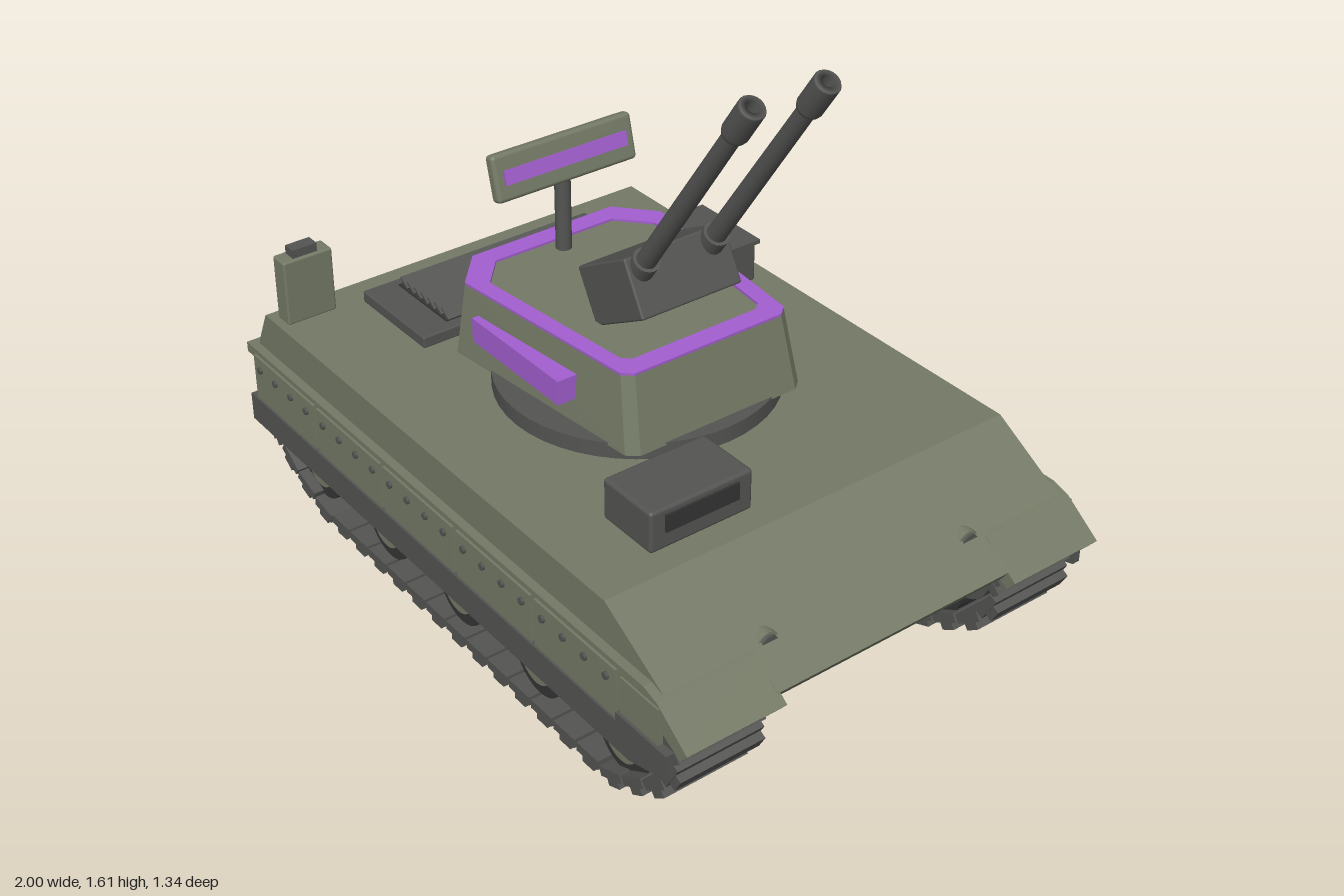
import * as THREE from 'three';
import { RoundedBoxGeometry } from 'three/addons/geometries/RoundedBoxGeometry.js';

const paint = (name, color) => {
  const m = new THREE.MeshStandardMaterial({ color });
  m.name = name;
  return m;
};

export function createModel() {
  const olive = paint('olive armour', 0x747a66);
  const steel = paint('dark steel', 0x545553);
  const rubber = paint('black rubber', 0x343534);
  const purple = paint('purple marking', 0xa35fd0);
  const model = new THREE.Group();
  model.name = 'antiAircraftTank';

  const add = (name, geo, mat, x = 0, y = 0, z = 0, parent = model) => {
    const m = new THREE.Mesh(geo, mat);
    m.name = name;
    m.position.set(x, y, z);
    parent.add(m);
    return m;
  };
  // box given by its minimum and maximum on each axis
  const block = (name, mat, [x0, x1], [y0, y1], [z0, z1], r = 0, parent = model) => {
    const s = [x1 - x0, y1 - y0, z1 - z0];
    const geo = r ? new RoundedBoxGeometry(...s, 2, r) : new THREE.BoxGeometry(...s);
    return add(name, geo, mat, (x0 + x1) / 2, (y0 + y1) / 2, (z0 + z1) / 2, parent);
  };
  const shapeOf = pts => new THREE.Shape(pts.map(p => new THREE.Vector2(...p)));
  // side profile extruded across z
  const profile = (name, mat, pts, z0, z1) => {
    const geo = new THREE.ExtrudeGeometry(shapeOf(pts), { depth: z1 - z0, bevelEnabled: false });
    return add(name, geo, mat, 0, 0, z0);
  };
  const discZ = (r, depth, n = 24) => new THREE.CylinderGeometry(r, r, depth, n).rotateX(Math.PI / 2);
  const discX = (r, depth, n = 16) => new THREE.CylinderGeometry(r, r, depth, n).rotateZ(Math.PI / 2);

  // Hull
  profile('upperHull', olive, [[-0.98, 0.43], [0.88, 0.43], [0.66, 0.557], [-0.918, 0.557]], -0.63, 0.63);
  profile('lowerHull', olive,
    [[-0.9, 0.14], [0.72, 0.14], [0.955, 0.335], [0.975, 0.365], [0.88, 0.43], [-0.98, 0.43]], -0.372, 0.372);

  // Closed track path shared by both sides
  const pathPts = [[-0.68, 0.03], [0.66, 0.03], [0.75, 0.07], [0.86, 0.14], [0.915, 0.22], [0.92, 0.28],
    [0.86, 0.34], [0.75, 0.36], [-0.83, 0.36], [-0.92, 0.34], [-0.965, 0.25], [-0.93, 0.16], [-0.82, 0.08]]
    .map(([x, y]) => new THREE.Vector3(x, y, 0));
  const path = new THREE.CurvePath();
  pathPts.forEach((p, i) => path.add(new THREE.LineCurve3(p, pathPts[(i + 1) % pathPts.length])));
  const LINKS = 42;

  for (const s of [1, -1]) {
    const side = s > 0 ? 'left' : 'right';
    const span = (a, b) => (s > 0 ? [a, b] : [-b, -a]);

    // Fender with sloping front flap
    block(side + 'Fender', olive, [-1, 0.84], [0.41, 0.44], span(0.372, 0.655));
    const [f0, f1] = span(0.365, 0.655);
    profile(side + 'FrontFlap', olive, [[0.8, 0.41], [0.975, 0.315], [1, 0.345], [0.89, 0.425], [0.84, 0.44], [0.8, 0.44]], f0, f1);

    // Riveted skirt panels over a rubber strip
    const joints = [-0.96, -0.615, -0.275, 0.07, 0.41, 0.75];
    for (let i = 0; i < 5; i++) {
      block(side + 'SkirtPanel', olive, [joints[i] + 0.008, joints[i + 1] - 0.008], [0.285, 0.425], span(0.645, 0.662));
      for (let k = 0; k < 4; k++)
        add(side + 'Rivet', discZ(0.01, 0.012, 8), steel, joints[i] + 0.045 + k * 0.085, 0.39, s * 0.664);
    }
    block(side + 'SkirtEnd', olive, [0.758, 0.9], [0.31, 0.415], span(0.645, 0.66));
    block(side + 'SkirtBacking', steel, [-0.95, 0.76], [0.28, 0.41], span(0.635, 0.645));
    const [r0, r1] = span(0.645, 0.668);
    profile(side + 'RubberSkirt', steel, [[-0.98, 0.2], [0.8, 0.2], [0.94, 0.24], [0.94, 0.31], [0.75, 0.31], [0.75, 0.285], [-0.98, 0.285]], r0, r1);

    // Road wheels
    for (let i = 0; i < 5; i++) {
      const x = -0.72 + i * 0.3525;
      add(side + 'Tyre', discZ(0.103, 0.2, 28), rubber, x, 0.155, s * 0.5);
      add(side + 'WheelRim', discZ(0.066, 0.02), olive, x, 0.155, s * 0.6);
      add(side + 'WheelHub', discZ(0.025, 0.02, 12), olive, x, 0.155, s * 0.615);
      add(side + 'Axle', discZ(0.03, 0.1, 12), steel, x, 0.155, s * 0.38);
    }
    // Sprocket and idler
    for (const x of [0.78, -0.83]) {
      add(side + 'EndWheel', discZ(0.095, 0.18), steel, x, 0.25, s * 0.5);
      add(side + 'EndWheelHub', discZ(0.04, 0.04, 12), olive, x, 0.25, s * 0.595);
    }

    // Track links, each a plate with a cleat on the outside
    for (let i = 0; i < LINKS; i++) {
      const p = path.getPoint(i / LINKS);
      const a = path.getPoint((i / LINKS + 0.994) % 1), b = path.getPoint((i / LINKS + 0.006) % 1);
      const link = new THREE.Group();
      link.name = side + 'TrackLink';
      link.position.set(p.x, p.y, s * 0.503);
      link.rotation.z = Math.atan2(b.y - a.y, b.x - a.x);
      add('linkPlate', new THREE.BoxGeometry(0.088, 0.026, 0.255), steel, 0, 0.004, 0, link);
      add('linkCleat', new THREE.BoxGeometry(0.045, 0.022, 0.25), steel, 0, -0.019, 0, link);
      model.add(link);
    }

    // Headlamp
    add(side + 'Headlamp', discX(0.033, 0.05), olive, 0.85, 0.418, s * 0.32);
    add(side + 'HeadlampGlass', discX(0.026, 0.008), steel, 0.878, 0.418, s * 0.32);
  }

  // Engine grille with leaning slats
  block('engineGrille', steel, [-0.82, -0.505], [0.555, 0.59], [-0.385, 0.375], 0.005);
  block('grilleOpening', rubber, [-0.785, -0.54], [0.588, 0.594], [-0.29, 0.28]);
  for (let i = 0; i < 7; i++)
    add('grilleSlat', new THREE.BoxGeometry(0.04, 0.007, 0.56), steel, -0.765 + i * 0.035, 0.605, -0.005).rotation.z = -0.6;

  // Deck boxes
  block('exhaustBox', olive, [-0.89, -0.83], [0.555, 0.75], [0.455, 0.605], 0.006);
  block('exhaustCap', steel, [-0.88, -0.84], [0.745, 0.775], [0.495, 0.57]);
  block('stowageBox', steel, [-0.495, -0.255], [0.555, 0.68], [-0.57, -0.43], 0.006);
  block('stowageLid', steel, [-0.505, -0.245], [0.675, 0.687], [-0.578, -0.422]);
  block('sightBox', steel, [0.4, 0.588], [0.555, 0.672], [0.135, 0.443], 0.01);
  block('sightWindow', rubber, [0.586, 0.594], [0.605, 0.655], [0.18, 0.4]);

  // Turret ring and tapered turret body
  add('turretRing', new THREE.CylinderGeometry(0.385, 0.385, 0.05, 48), steel, -0.05, 0.577, 0);
  const half = [[0.295, 0.25], [0.27, 0.28], [-0.385, 0.345], [-0.5, 0.245]];
  const plan = [...half, ...half.slice().reverse().map(([x, z]) => [x, -z])];
  const taper = ([x, z]) => [x * 0.912 - 0.019, z * 0.93];
  const body = new THREE.ExtrudeGeometry(shapeOf(plan), { depth: 0.205, bevelEnabled: false });
  const pos = body.attributes.position;
  for (let i = 0; i < pos.count; i++)
    if (pos.getZ(i) > 0.1) pos.setXY(i, ...taper([pos.getX(i), pos.getY(i)]));
  body.rotateX(-Math.PI / 2);
  body.computeVertexNormals();
  add('turretBody', body, olive, 0, 0.595, 0);

  // Purple border round the roof and panels on the sides
  const roof = plan.map(taper);
  const border = shapeOf(roof);
  border.holes.push(new THREE.Path(roof.map(([x, z]) => new THREE.Vector2((x + 0.112) * 0.84 - 0.112, z * 0.84))));
  add('roofBorder', new THREE.ExtrudeGeometry(border, { depth: 0.008, bevelEnabled: false })
    .rotateX(-Math.PI / 2), purple, 0, 0.799, 0);
  for (const s of [1, -1])
    add('sidePanel', new THREE.BoxGeometry(0.385, 0.07, 0.06), purple, -0.117, 0.7, s * 0.312);

  // Gun cradle and twin barrels
  add('gunCradle', new RoundedBoxGeometry(0.225, 0.16, 0.315, 2, 0.006), steel, 0.045, 0.91, 0).rotation.z = 0.51;
  for (const s of [1, -1]) {
    const gun = new THREE.Group();
    gun.name = s > 0 ? 'leftGun' : 'rightGun';
    gun.position.set(0.09, 0.965, s * 0.11);
    gun.rotation.z = -0.603;
    add('barrelCollar', new THREE.CylinderGeometry(0.036, 0.036, 0.1, 20), steel, 0, 0.03, 0, gun);
    add('barrel', new THREE.CylinderGeometry(0.024, 0.027, 0.66, 20), steel, 0, 0.34, 0, gun);
    const ring = [[0.016, 0.65], [0.032, 0.65], [0.035, 0.66], [0.035, 0.755], [0.032, 0.76], [0.016, 0.76], [0.016, 0.65]];
    add('muzzle', new THREE.LatheGeometry(ring.map(p => new THREE.Vector2(...p)), 20), steel, 0, 0, 0, gun);
    add('bore', new THREE.CylinderGeometry(0.016, 0.016, 0.01, 16), rubber, 0, 0.72, 0, gun);
    model.add(gun);
  }

  // Radar mast and panel
  add('radarMast', new THREE.CylinderGeometry(0.022, 0.022, 0.25, 20), steel, -0.377, 0.92, 0);
  const radar = new THREE.Group();
  radar.name = 'radar';
  radar.position.set(-0.375, 1.072, 0);
  radar.rotation.z = 0.25;
  add('radarPanel', new RoundedBoxGeometry(0.036, 0.13, 0.445, 2, 0.012), olive, 0, 0, 0, radar);
  add('radarStrip', new THREE.BoxGeometry(0.008, 0.04, 0.39), purple, 0.02, 0, 0, radar);
  model.add(radar);

  return model;
}
